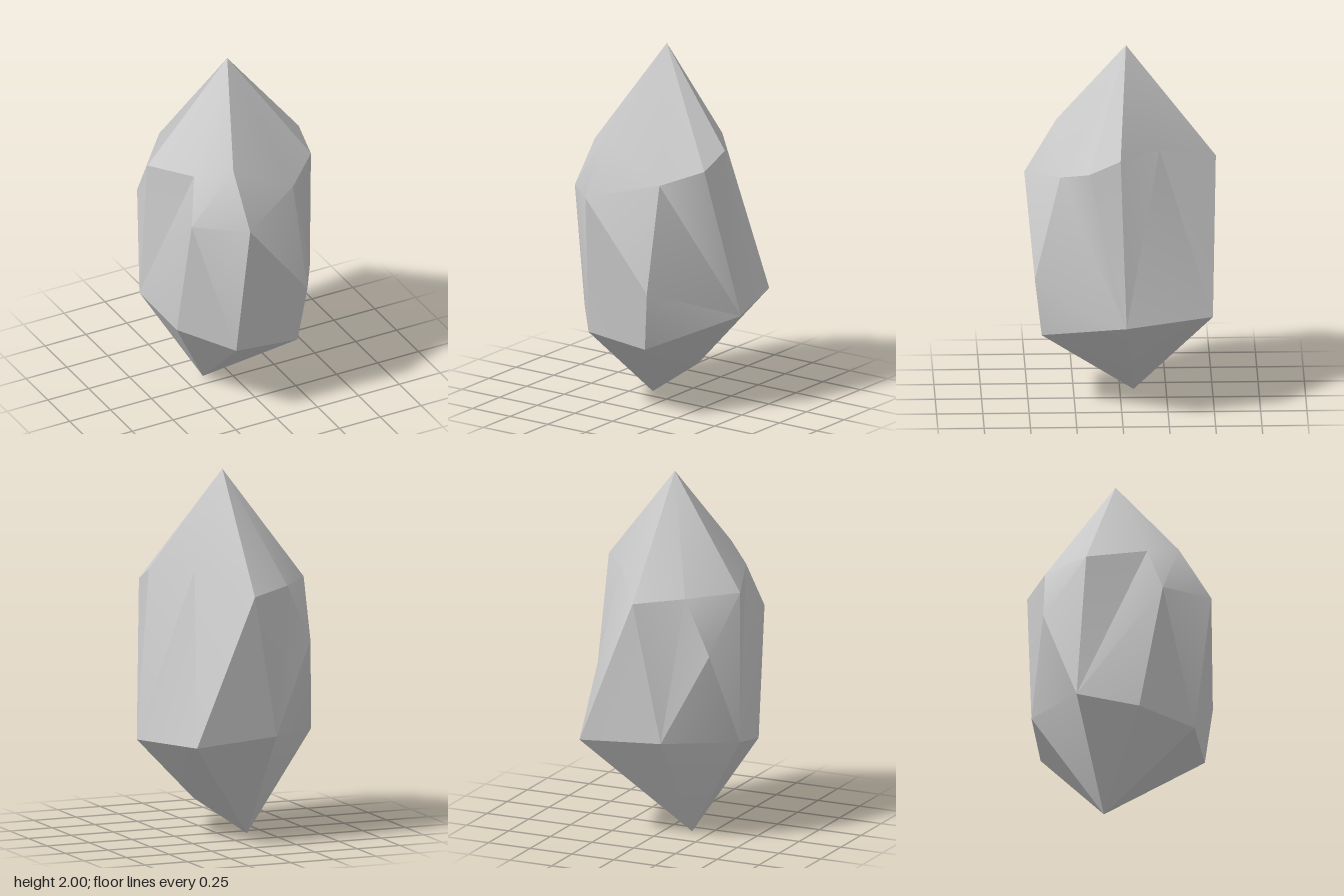
import * as THREE from 'three';
import { toCreasedNormals } from 'three/addons/utils/BufferGeometryUtils.js';

// Corners of the crystal: tip, foot, upper ring (t), lower ring (l)
const P = {
  tip: [-0.02, 2, -0.03], foot: [-0.145, 0, -0.075],
  t1: [-0.18, 1.53, 0.34], t2: [-0.17, 1.235, 0.515], t3: [0.19, 1.32, 0.33],
  t4: [0.38, 1.395, 0.18], t5: [0.395, 1.475, 0.01], t6: [0.22, 1.485, -0.205],
  t7: [0, 1.375, -0.515], t8: [-0.25, 1.4, -0.38], t9: [-0.457, 1.395, -0.125],
  t10: [-0.34, 1.46, 0.19], t11: [-0.405, 1.21, 0.285],
  l1: [0.205, 0.745, 0.468], l2: [0.165, 0.415, 0.43], l3: [0.48, 0.55, -0.02],
  l4: [0.33, 0.565, -0.49], l5: [0.165, 0.215, -0.06], l6: [-0.21, 0.45, 0.43],
  l7: [-0.43, 0.5, 0.16], l8: [-0.48, 0.57, -0.175], l9: [-0.39, 1.09, -0.37],
  l10: [-0.147, 0.595, -0.47],
};

// A fan of triangles from one corner round a closed loop
const fan = (hub, ring) => ring.map((p, i) => [hub, p, ring[(i + 1) % ring.length]]);

const sides = `t1 t3 t2, t11 t1 t10, t11 t2 t1, t9 t10 l8, t10 t11 l8,
  t11 l8 l7, t11 l7 l6, t11 l6 t2, t2 l6 l2, t2 l2 l1, t2 l1 t3,
  t3 l1 l3, l1 l2 l3, t3 t4 l3, t4 t5 l3, t5 t6 l3, t6 l4 l3, t6 t7 l4,
  t7 l10 l4, t7 t8 l10, t8 l9 l10, t8 t9 l9, t9 l8 l9, l9 l8 l10,
  l2 l3 l5, l3 l4 l5`.split(',').map((f) => f.trim().split(' '));

function facetGeometry(faces) {
  const positions = [];
  const centre = new THREE.Vector3(0, 0.95, 0);
  const tri = new THREE.Triangle();
  const normal = new THREE.Vector3();
  const mid = new THREE.Vector3();
  for (const face of faces) {
    const [a, b, c] = face.map((n) => new THREE.Vector3(...P[n]));
    tri.set(a, b, c);
    tri.getNormal(normal);
    tri.getMidpoint(mid).sub(centre);
    // Turn every facet outwards
    const corners = normal.dot(mid) > 0 ? [a, b, c] : [a, c, b];
    corners.forEach((v) => positions.push(v.x, v.y, v.z));
  }
  const g = new THREE.BufferGeometry();
  g.setAttribute('position', new THREE.Float32BufferAttribute(positions, 3));
  return toCreasedNormals(g, 0.45);
}

export function createModel() {
  const group = new THREE.Group();
  group.name = 'crystal';
  const faces = [
    ...fan('tip', ['t1', 't3', 't4', 't5', 't6', 't7', 't8', 't9', 't10']),
    ...sides,
    ...fan('foot', ['l2', 'l5', 'l4', 'l10', 'l8', 'l7', 'l6']),
  ];
  const stone = new THREE.Mesh(facetGeometry(faces), new THREE.MeshStandardMaterial({ color: 0xcccccc }));
  stone.name = 'facetedStone';
  group.add(stone);
  return group;
}
